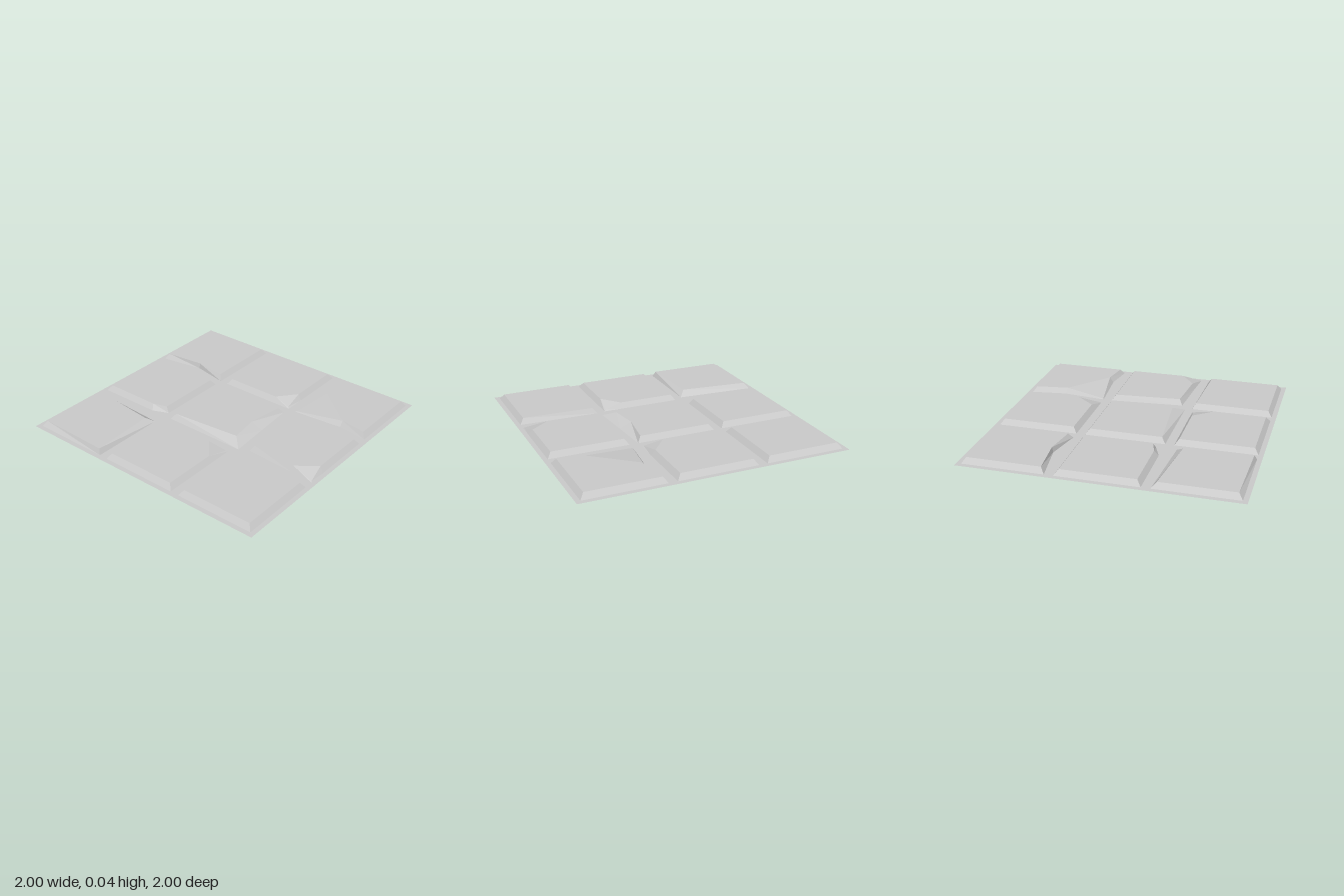
import * as THREE from 'three';

const HEIGHT = 0.04;
const PITCH = 0.665;
const BASE_HALF = 0.3;
const RIM_HALF = 0.27;
const CORNERS = [[-1, -1], [1, -1], [1, 1], [-1, 1]];

// Wear on each tile, in tile coordinates. "at" runs round the square: 0 back left, 1 back right,
// 2 front right, 3 front left; fractions lie between. A third rim value is a sunken height.
const TILES = [
  { name: 'backLeftTile', col: -1, row: -1, wear: [
    { at: 1, rim: [0.265, -0.27] },
    { at: 2, base: [0.265, 0.3], rim: [0.21, 0.252] },
    { at: 3, rim: [-0.283, 0.28] }] },
  { name: 'backMiddleTile', col: 0, row: -1, wear: [
    { at: 3, base: [-0.25, 0.3], rim: [-0.238, 0.27] },
    { at: 3.2 }] },
  { name: 'backRightTile', col: 1, row: -1, wear: [
    { at: 3.45, base: [-0.245, 0.03], rim: [-0.237, 0.03] }] },
  { name: 'middleLeftTile', col: -1, row: 0, wear: [
    { at: 1.785 },
    { at: 2, rim: [0.29, 0.288, 0.008] },
    { at: 2.26 }] },
  { name: 'centreTile', col: 0, row: 0, wear: [
    { at: 2.5, base: [0, 0.32], rim: [0, 0.23] },
    { at: 3, base: [-0.3, 0.342], rim: [-0.22, 0.26] }] },
  { name: 'middleRightTile', col: 1, row: 0, wear: [
    { at: 2.74 },
    { at: 3, rim: [-0.29, 0.288, 0.008] },
    { at: 3.215 }] },
  { name: 'frontLeftTile', col: -1, row: 1, wear: [
    { at: 1, base: [0.313, -0.3], rim: [0.29, -0.27] }] },
  { name: 'frontMiddleTile', col: 0, row: 1, wear: [
    { at: 0, base: [-0.262, -0.253], rim: [-0.236, -0.225] },
    { at: 2.78 },
    { at: 3, rim: [-0.293, 0.295, 0.005] },
    { at: 3.33, base: [-0.286, 0.125], rim: [-0.262, 0.125] }] },
  { name: 'frontRightTile', col: 1, row: 1, wear: [
    { at: 0, rim: [-0.295, -0.295, 0.005] },
    { at: 0.55, base: [0.033, -0.263], rim: [0.023, -0.235] },
    { at: 3.4, base: [-0.267, 0.075], rim: [-0.238, 0.075] }] },
];

// Point on a square of the given half width, at a position round its edge.
function onSquare(half, at) {
  const i = Math.floor(at);
  const [ax, az] = CORNERS[i];
  const [bx, bz] = CORNERS[(i + 1) % 4];
  return [half * (ax + (bx - ax) * (at - i)), half * (az + (bz - az) * (at - i))];
}

// Base and rim outlines of a tile: a plain bevelled square changed by its wear.
function tileLoops({ col, row, wear }) {
  const whole = [0, 1, 2, 3].filter((c) => !wear.some((w) => w.at === c)).map((at) => ({ at }));
  const points = [...whole, ...wear].sort((a, b) => a.at - b.at);
  const place = ([x, z], y) => new THREE.Vector3(x + col * PITCH, y, z + row * PITCH);
  return {
    low: points.map(({ at, base = onSquare(BASE_HALF, at) }) => place(base, 0)),
    high: points.map(({ at, rim = onSquare(RIM_HALF, at) }) => place(rim, rim[2] ?? HEIGHT)),
  };
}

// Outline on the ground, in the plane used by flat shapes.
const flatten = (loop) => loop.map((p) => new THREE.Vector2(p.x, -p.z));

// Open-bottomed tile: sloping walls, a flat top, and a facet at each sunken corner.
function tileGeometry({ low, high }) {
  const positions = [];
  const n = high.length;

  // Every face leans upward, so corners are ordered to give an upward normal.
  const face = (a, b, c) => {
    const ny = (b.z - a.z) * (c.x - a.x) - (b.x - a.x) * (c.z - a.z);
    for (const p of ny < 0 ? [a, c, b] : [a, b, c]) positions.push(p.x, p.y, p.z);
  };

  for (let i = 0; i < n; i++) {
    const j = (i + 1) % n;
    face(low[i], low[j], high[j]);
    face(low[i], high[j], high[i]);
    if (high[i].y < HEIGHT) face(high[(i + n - 1) % n], high[i], high[j]);
  }

  const plateau = high.filter((p) => p.y === HEIGHT);
  for (const [a, b, c] of THREE.ShapeUtils.triangulateShape(flatten(plateau), [])) {
    face(plateau[a], plateau[b], plateau[c]);
  }

  const geometry = new THREE.BufferGeometry();
  geometry.setAttribute('position', new THREE.Float32BufferAttribute(positions, 3));
  geometry.computeVertexNormals();
  return geometry;
}

// Flat square lattice with an opening under every tile.
function groutGeometry(outlines) {
  const sheet = new THREE.Shape(CORNERS.map(([x, y]) => new THREE.Vector2(x, y)));
  for (const loop of outlines) sheet.holes.push(new THREE.Path(flatten(loop)));
  return new THREE.ShapeGeometry(sheet).rotateX(-Math.PI / 2);
}

export function createModel() {
  const group = new THREE.Group();
  group.name = 'tiledFloor';
  const material = new THREE.MeshStandardMaterial({
    color: 0xcccccc, flatShading: true, side: THREE.DoubleSide,
  });
  const add = (name, geometry) => {
    const mesh = new THREE.Mesh(geometry, material);
    mesh.name = name;
    group.add(mesh);
  };

  const loops = TILES.map(tileLoops);
  add('grout', groutGeometry(loops.map(({ low }) => low)));
  TILES.forEach(({ name }, i) => add(name, tileGeometry(loops[i])));
  return group;
}
